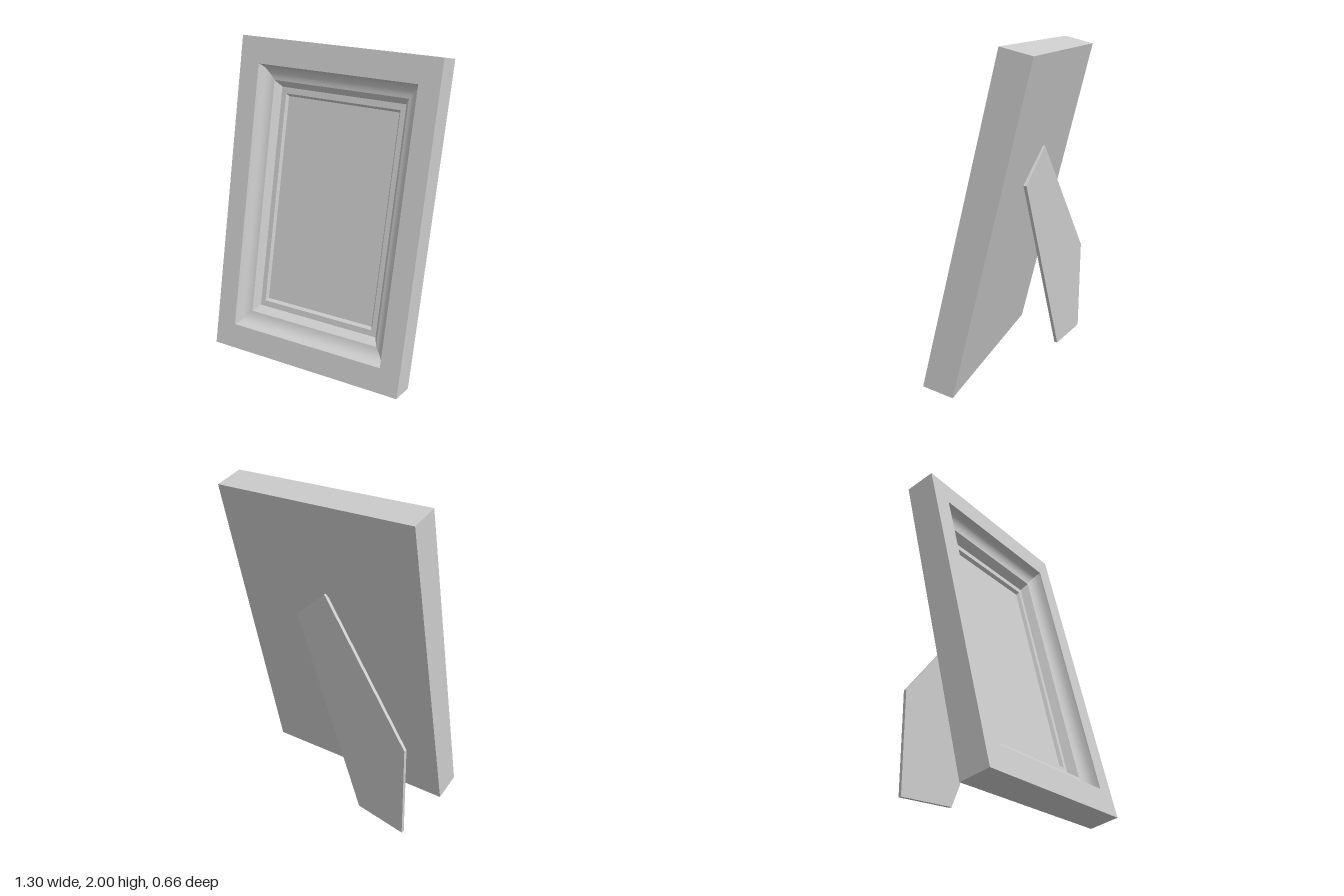
import * as THREE from 'three';
import { toCreasedNormals } from 'three/addons/utils/BufferGeometryUtils.js';

const material = new THREE.MeshStandardMaterial({ color: 0xcccccc });

// Frame measurements, in the tilted plane of the frame (front face at z = 0)
const HALF_W = 0.65, HALF_H = 1.0035, DEPTH = 0.19;
const OPEN_W = 0.52, OPEN_H = 0.844, PANEL_DEPTH = 0.155;
const SIDE_RATIO = 0.82; // moulding is narrower on the sides than at top and bottom

function addMesh(parent, name, geometry) {
  const mesh = new THREE.Mesh(geometry, material);
  mesh.name = name;
  parent.add(mesh);
  return mesh;
}

function rectangle(PathType, w, h) {
  return new PathType([[-w, -h], [w, -h], [w, h], [-w, h]].map(([x, y]) => new THREE.Vector2(x, y)));
}

// Moulding profile: x = inset from the opening, y = depth below the front
const profile = [
  ...new THREE.QuadraticBezierCurve(
    new THREE.Vector2(0, 0), new THREE.Vector2(0.01, 0.075), new THREE.Vector2(0.09, 0.083)
  ).getPoints(14),
  new THREE.Vector2(0.127, 0.135),
  new THREE.Vector2(0.165, 0.135),
  new THREE.Vector2(0.18, PANEL_DEPTH),
];

// One mitred side of the moulding, between two corners given as signs
function mouldingSide(a, b) {
  const at = ([sx, sy], p) => [sx * (OPEN_W - SIDE_RATIO * p.x), sy * (OPEN_H - p.x), -p.y];
  const positions = [];
  for (let k = 0; k < profile.length - 1; k++) {
    const outerA = at(a, profile[k]), outerB = at(b, profile[k]);
    const innerA = at(a, profile[k + 1]), innerB = at(b, profile[k + 1]);
    positions.push(...outerA, ...outerB, ...innerB, ...outerA, ...innerB, ...innerA);
  }
  const geometry = new THREE.BufferGeometry();
  geometry.setAttribute('position', new THREE.Float32BufferAttribute(positions, 3));
  return toCreasedNormals(geometry, 0.5);
}

export function createModel() {
  const model = new THREE.Group();
  model.name = 'photoFrame';

  // Leaning frame
  const frame = new THREE.Group();
  frame.name = 'frame';
  frame.position.set(0, 1.025, 0.0925);
  frame.rotation.x = -0.239;
  model.add(frame);

  // Outer border with a rectangular opening
  const border = rectangle(THREE.Shape, HALF_W, HALF_H);
  border.holes.push(rectangle(THREE.Path, OPEN_W, OPEN_H));
  addMesh(frame, 'border', new THREE.ExtrudeGeometry(border, { depth: DEPTH, bevelEnabled: false }))
    .position.z = -DEPTH;

  // Coved moulding, ledge and step around the picture
  const corners = [[1, 1], [-1, 1], [-1, -1], [1, -1]];
  ['topMoulding', 'rightMoulding', 'bottomMoulding', 'leftMoulding'].forEach((name, i) =>
    addMesh(frame, name, mouldingSide(corners[i], corners[(i + 1) % 4])));

  // Picture panel, closing the back of the opening
  const thickness = DEPTH - PANEL_DEPTH;
  addMesh(frame, 'picturePanel', new THREE.BoxGeometry(2 * OPEN_W, 2 * OPEN_H, thickness))
    .position.z = -PANEL_DEPTH - thickness / 2;

  // Thin easel leg, slanting to the model's right and swung away from the back
  const outline = [[0.237, 1.19], [0, 1.39], [-0.628, 0.6], [-0.628, 0], [-0.275, 0.005]];
  const leg = addMesh(model, 'easelLeg', new THREE.ExtrudeGeometry(
    new THREE.Shape(outline.map(([x, y]) => new THREE.Vector2(x, y))),
    { depth: 0.02, bevelEnabled: false }));
  leg.position.z = -0.182;
  leg.rotation.set(-0.016, -0.156, 0);

  return model;
}
